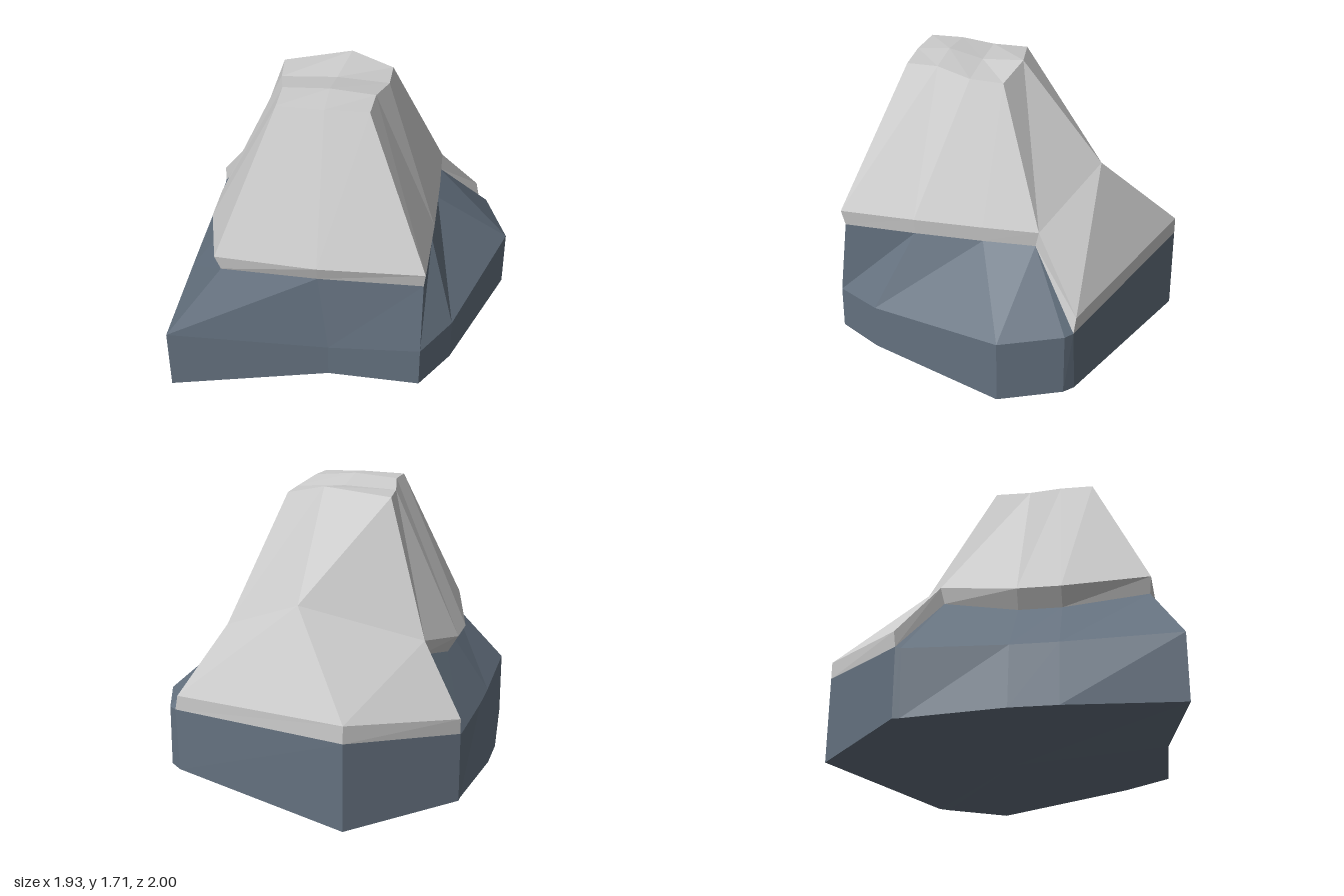
import * as THREE from 'three';

// Cross-sections, each with 12 corners running front-left, front, right, back, left.
const foot = [
  [-0.9, 0.04, 1.0], [0, 0.13, 0.88], [0.52, 0.11, 0.87], [0.68, 0.1, 0.61],
  [0.96, 0.05, -0.18], [0.82, 0.06, -0.53], [0.75, 0.05, -0.58], [-0.37, 0, -1.0],
  [-0.9, 0.03, -0.5], [-0.9, 0.03, -0.46], [-0.97, 0.03, 0.1], [-0.97, 0.03, 0.36],
];
const shoulder = [
  [-0.9, 0.42, 1.0], [0, 0.33, 0.88], [0.52, 0.36, 0.87], [0.68, 0.36, 0.61],
  [0.96, 0.41, -0.18], [0.82, 0.42, -0.53], [0.77, 0.42, -0.57], [-0.37, 0.5, -1.0],
  [-0.9, 0.43, -0.5], [-0.9, 0.42, -0.47], [-0.91, 0.4, 0.1], [-0.91, 0.4, 0.36],
];
// Where the rock meets the cap; it drops to the shoulder along the back lobe.
const seam = [
  [-0.6, 0.8, 0.83], [-0.06, 0.8, 0.84], [0.52, 0.8, 0.82], [0.53, 0.8, 0.4],
  [0.53, 0.8, 0], [0.52, 0.8, -0.3], shoulder[6], shoulder[7],
  shoulder[8], [-0.63, 0.8, -0.3], [-0.7, 0.7, 0.12], [-0.7, 0.7, 0.36],
];
const rim = [
  [-0.63, 0.89, 0.84], [-0.06, 0.89, 0.87], [0.53, 0.89, 0.84], [0.54, 0.89, 0.4],
  [0.54, 0.89, 0], [0.53, 0.89, -0.32], [0.75, 0.51, -0.58], [-0.37, 0.6, -1.0],
  [-0.9, 0.52, -0.51], [-0.65, 0.89, -0.32], [-0.76, 0.8, 0.12], [-0.76, 0.8, 0.36],
];
// Crease above the back lobe; elsewhere it coincides with the rim.
const crease = rim.slice();
crease[6] = rim[5];
crease[7] = [0.01, 1.11, -0.58];
crease[8] = rim[9];
const crown = [
  [-0.32, 1.69, 0.52], [-0.06, 1.695, 0.53], [0.18, 1.69, 0.52], [0.19, 1.69, 0.34],
  [0.24, 1.65, 0.14], [0.24, 1.64, -0.05], [0.24, 1.64, -0.05], [0, 1.695, -0.11],
  [-0.38, 1.64, -0.05], [-0.38, 1.64, -0.05], [-0.36, 1.65, 0.15], [-0.32, 1.69, 0.33],
];

// Adds a quad as two triangles, dropping any that collapse.
function quad(out, a, b, c, d) {
  const same = (p, q) => p.every((v, i) => Math.abs(v - q[i]) < 1e-6);
  for (const [p, q, r] of [[a, b, c], [a, c, d]]) {
    if (!same(p, q) && !same(q, r) && !same(r, p)) out.push(...p, ...q, ...r);
  }
}

function loft(out, rings) {
  for (let k = 0; k < rings.length - 1; k++) {
    const lo = rings[k], hi = rings[k + 1];
    for (let i = 0; i < lo.length; i++) {
      const j = (i + 1) % lo.length;
      quad(out, lo[i], lo[j], hi[j], hi[i]);
    }
  }
}

function facetedMesh(name, positions, color) {
  const geometry = new THREE.BufferGeometry();
  geometry.setAttribute('position', new THREE.Float32BufferAttribute(positions, 3));
  geometry.computeVertexNormals();
  const mesh = new THREE.Mesh(geometry, new THREE.MeshStandardMaterial({ color, flatShading: true }));
  mesh.name = name;
  return mesh;
}

export function createModel() {
  const group = new THREE.Group();
  group.name = 'cappedRock';

  // Slate rock base with a closed underside
  const rock = [];
  loft(rock, [foot, shoulder, seam]);
  foot.forEach((p, i) => rock.push(...foot[(i + 1) % foot.length], ...p, 0, 0.06, 0));
  group.add(facetedMesh('rockBase', rock, 0x64717f));

  // Pale cap with an overhanging rim and a lobe spilling down the back
  const cap = [];
  loft(cap, [seam, rim, crease, crown]);

  // Summit: rows from front to back, each left, middle, right
  const rows = [
    [crown[0], crown[1], crown[2]],
    [crown[11], [-0.06, 1.71, 0.34], crown[3]],
    [crown[10], [-0.05, 1.665, 0.14], crown[4]],
    [crown[9], crown[7], crown[5]],
  ];
  for (let r = 0; r < 3; r++) {
    for (let c = 0; c < 2; c++) {
      quad(cap, rows[r][c], rows[r][c + 1], rows[r + 1][c + 1], rows[r + 1][c]);
    }
  }
  group.add(facetedMesh('snowCap', cap, 0xcccccc));

  return group;
}
